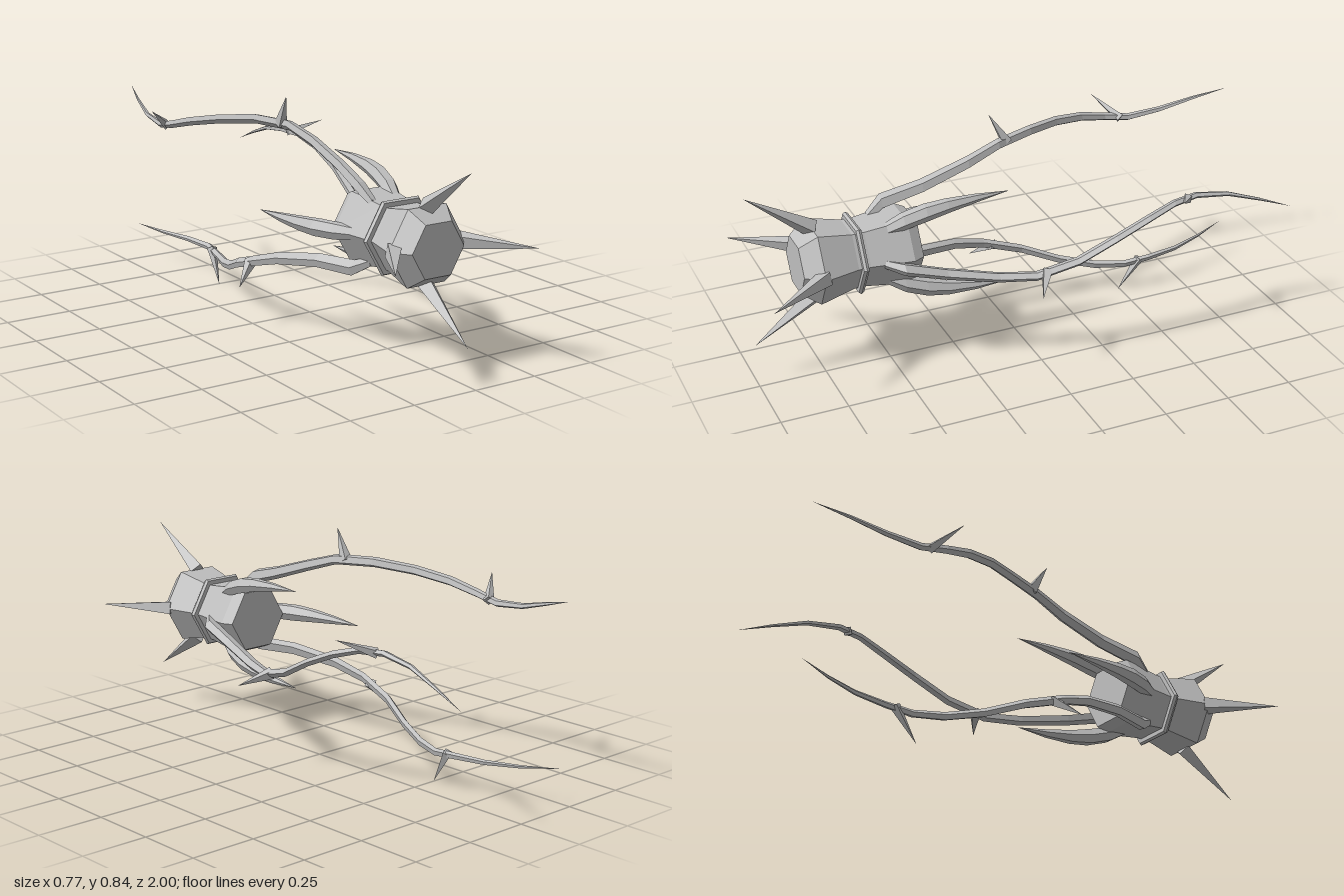
import * as THREE from 'three';

// Skin a run of [x, y, z, radius] stations with polygonal rings facing z
function limbGeometry(stations, sides, flatten = 1) {
  const pos = [], index = [];
  for (const [x, y, z, r] of stations) {
    for (let j = 0; j < sides; j++) {
      const a = (j / sides) * Math.PI * 2;
      pos.push(x + Math.cos(a) * r, y + Math.sin(a) * r * flatten, z);
    }
  }
  for (let i = 0; i < stations.length - 1; i++) {
    for (let j = 0; j < sides; j++) {
      const k = (j + 1) % sides;
      const a = i * sides + j, b = i * sides + k;
      index.push(a, a + sides, b, b, a + sides, b + sides);
    }
  }
  // close the thick end
  for (let j = 1; j < sides - 1; j++) index.push(0, j, j + 1);
  const geo = new THREE.BufferGeometry();
  geo.setAttribute('position', new THREE.Float32BufferAttribute(pos, 3));
  geo.setIndex(index);
  geo.computeVertexNormals();
  return geo;
}

// Four-sided spike from a base point to a tip
function spikeGeometry(base, tip, radius) {
  const from = new THREE.Vector3(...base);
  const dir = new THREE.Vector3(...tip).sub(from);
  const len = dir.length();
  const geo = new THREE.ConeGeometry(radius, len, 4);
  geo.translate(0, len / 2, 0);
  geo.applyQuaternion(new THREE.Quaternion().setFromUnitVectors(
    new THREE.Vector3(0, 1, 0), dir.normalize()));
  geo.translate(from.x, from.y, from.z);
  return geo;
}

// Six-sided lathe about z, with corners on the x axis
function hexLathe(profile) {
  const geo = new THREE.LatheGeometry(profile.map(([r, z]) => new THREE.Vector2(r, z)), 6);
  geo.rotateX(Math.PI / 2);
  geo.rotateZ(Math.PI / 6);
  return geo;
}

export function createModel() {
  const model = new THREE.Group();
  model.name = 'tentacledCreature';
  const grey = new THREE.MeshStandardMaterial({ color: 0xbfbfbf, flatShading: true });
  grey.name = 'grey';

  const core = new THREE.Group();
  core.name = 'core';
  core.position.set(-0.035, 0.447, 0);
  model.add(core);

  const add = (parent, name, geo) => {
    const mesh = new THREE.Mesh(geo, grey);
    mesh.name = name;
    parent.add(mesh);
    return mesh;
  };

  // Waisted hexagonal body with bevelled ends
  add(core, 'body', hexLathe([
    [0, 0.392], [0.128, 0.392], [0.148, 0.432], [0.126, 0.59],
    [0.126, 0.635], [0.157, 0.765], [0.107, 0.83], [0, 0.83],
  ]));

  // Thin collar around the waist
  add(core, 'waistCollar', hexLathe([
    [0.12, 0.603], [0.144, 0.603], [0.15, 0.613], [0.144, 0.623], [0.12, 0.623],
  ]));

  // Four spikes splayed out at the front
  for (let i = 0; i < 4; i++) {
    const a = (i * Math.PI) / 2, c = Math.cos(a), s = Math.sin(a);
    add(core, 'frontSpike', spikeGeometry(
      [c * 0.132, s * 0.132, 0.76], [c * 0.295, s * 0.295, 0.998], 0.034));
  }

  // Short curved horns sweeping backward
  const horn = limbGeometry([
    [0.1, 0, 0.53, 0.022], [0.145, 0, 0.45, 0.032], [0.174, 0, 0.37, 0.033],
    [0.192, 0, 0.29, 0.027], [0.205, 0, 0.18, 0.016], [0.212, 0, 0.05, 0],
  ], 6);

  // Long winding tentacle and its two thorns, offsets taken from the core axis
  const tentacle = limbGeometry([
    [0.115, -0.002, 0.54, 0.02], [0.16, -0.015, 0.48, 0.03], [0.185, -0.055, 0.33, 0.027],
    [0.235, -0.085, 0.15, 0.024], [0.28, -0.087, 0.02, 0.021], [0.31, -0.045, -0.13, 0.02],
    [0.33, 0.025, -0.27, 0.019], [0.332, 0.08, -0.4, 0.018], [0.318, 0.113, -0.51, 0.016],
    [0.3, 0.118, -0.61, 0.014], [0.306, 0.1, -0.74, 0.011], [0.323, 0.058, -0.87, 0.007],
    [0.335, 0.008, -0.998, 0],
  ], 5, 0.8);
  const thorns = [
    spikeGeometry([0.285, -0.075, -0.02], [0.392, -0.117, 0.045], 0.024),
    spikeGeometry([0.3, 0.112, -0.575], [0.418, 0.163, -0.495], 0.02),
  ];

  // Three-fold arrangement, horns alternating with tentacles
  for (let i = 0; i < 3; i++) {
    const angle = (i * Math.PI * 2) / 3;
    add(core, 'rearHorn', horn).rotation.z = angle + Math.PI / 3;
    const arm = new THREE.Group();
    arm.name = 'tentacleArm';
    arm.rotation.z = angle;
    add(arm, 'tentacle', tentacle);
    thorns.forEach((geo) => add(arm, 'thorn', geo));
    core.add(arm);
  }
  return model;
}
